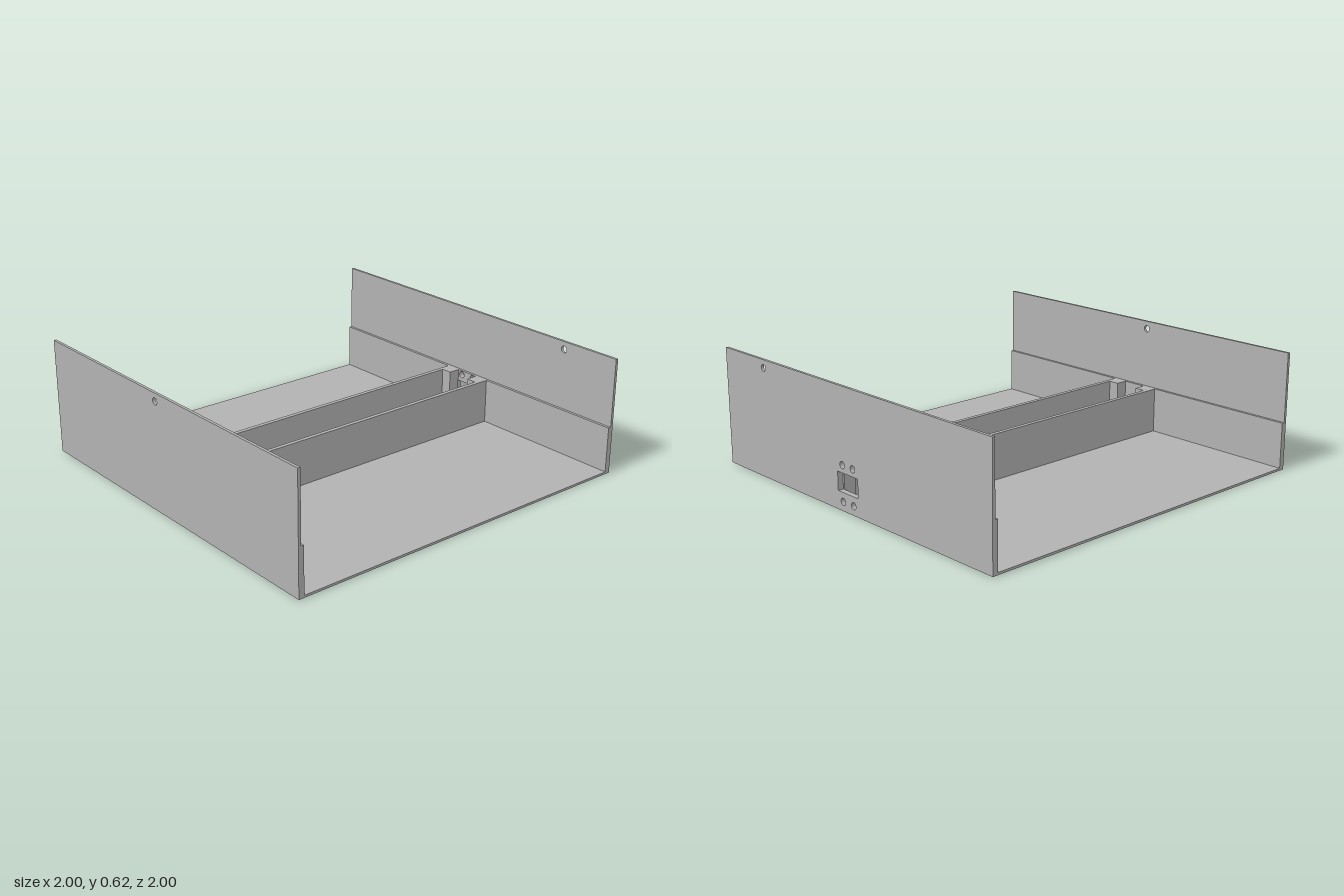
import * as THREE from 'three';

const grey = new THREE.MeshStandardMaterial({ color: 0xb2b2b2 });
grey.name = 'sheet grey';

const BASE = 0.003;    // pad thickness under the tray
const SHEET = 0.015;   // sheet thickness
const WALL_TOP = 0.617;
const LINER_TOP = 0.255;
const INNER = 0.97;    // half the clear inside width

function box(name, x0, x1, y0, y1, z0, z1) {
  const mesh = new THREE.Mesh(new THREE.BoxGeometry(x1 - x0, y1 - y0, z1 - z0), grey);
  mesh.position.set((x0 + x1) / 2, (y0 + y1) / 2, (z0 + z1) / 2);
  mesh.name = name;
  return mesh;
}

// Path for a rectangle; u runs along -z, v along y
function rect(path, u0, u1, v0, v1) {
  path.moveTo(u0, v0);
  path.lineTo(u1, v0);
  path.lineTo(u1, v1);
  path.lineTo(u0, v1);
  path.closePath();
  return path;
}

// Upright sheet along z with cut-outs, starting at x = x0
function sheet(name, x0, y0, y1, holes) {
  const shape = rect(new THREE.Shape(), -1, 1, y0, y1);
  shape.holes.push(...holes);
  const geometry = new THREE.ExtrudeGeometry(shape, { depth: SHEET, bevelEnabled: false, curveSegments: 12 });
  geometry.rotateY(Math.PI / 2);
  const mesh = new THREE.Mesh(geometry, grey);
  mesh.position.x = x0;
  mesh.name = name;
  return mesh;
}

const roundHole = (z, y) => new THREE.Path().absarc(-z, y, 0.018, 0, Math.PI * 2, true);

// Socket opening with its four screw holes
function socketHoles() {
  const holes = [rect(new THREE.Path(), -0.077, 0.077, 0.097, 0.193)];
  for (const z of [-0.04, 0.04]) for (const y of [0.05, 0.232]) holes.push(roundHole(z, y));
  return holes;
}

export function createModel() {
  const group = new THREE.Group();
  group.name = 'tray';
  const floorTop = SHEET;

  // Tall outer walls and low inner liners
  group.add(
    sheet('leftWall', 1 - SHEET, BASE, WALL_TOP, [...socketHoles(), roundHole(0.665, 0.575)]),
    sheet('rightWall', -1, BASE, WALL_TOP, [roundHole(-0.065, 0.575)]),
    sheet('leftLiner', INNER, BASE, LINER_TOP, socketHoles()),
    sheet('rightLiner', -INNER - SHEET, BASE, LINER_TOP, [])
  );

  for (const s of [-1, 1]) {
    const span = (a, b) => (s > 0 ? [a, b] : [-b, -a]);
    // Floor panels either side of the open channel
    group.add(box('floorPanel', -INNER, INNER, BASE, floorTop, ...span(0.125, 1)));
    // Channel dividers
    group.add(box('divider', -INNER, INNER, floorTop, LINER_TOP, ...span(0.125, 0.148)));
    for (const side of [-1, 1]) {
      const [x0, x1] = side > 0 ? [0.905, INNER] : [-INNER, -0.905];
      // Corner posts inside the channel
      group.add(box('cornerPost', x0, x1, BASE, LINER_TOP, ...span(0.067, 0.125)));
      // Thin pads under the corners
      const [p0, p1] = side > 0 ? [0.875, 0.955] : [-0.955, -0.875];
      group.add(box('footPad', p0, p1, 0, BASE, ...span(0.88, 0.96)));
    }
  }
  return group;
}
